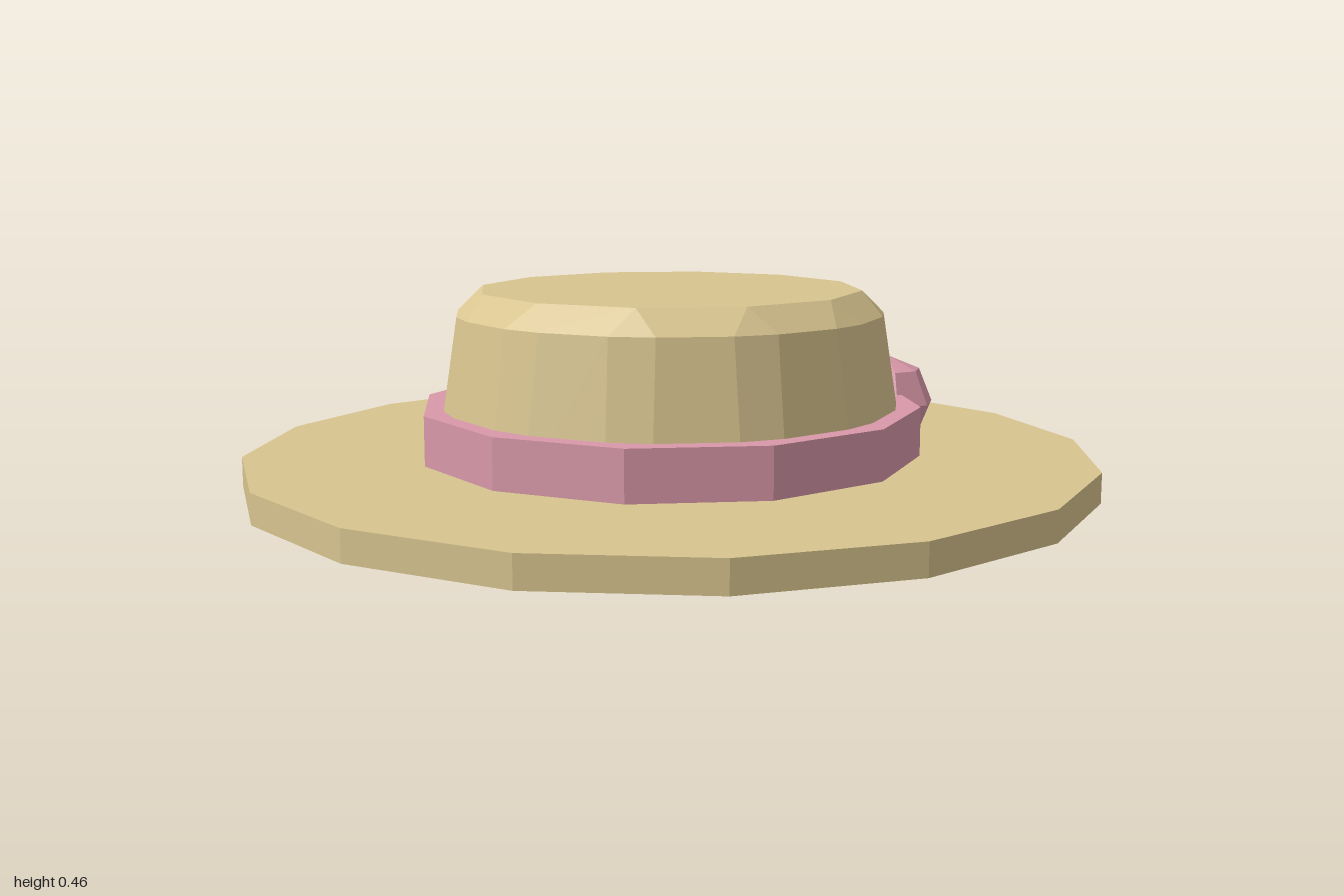
import * as THREE from 'three';

// Faceted normals for the low-poly look
function flat(geometry) {
  const g = geometry.index ? geometry.toNonIndexed() : geometry;
  g.computeVertexNormals();
  return g;
}

// Tapered twelve-sided crown: every upright corner and the top rim are bevelled
function crownGeometry() {
  const sides = 12;
  const cut = 0.05;
  const points = [];
  const corner = (i, radius, y, side) => {
    const a = (i / sides) * Math.PI * 2;
    const r = side ? radius - cut * Math.tan(Math.PI / sides) : radius;
    const t = side * cut;
    return [r * Math.sin(a) + t * Math.cos(a), y, r * Math.cos(a) - t * Math.sin(a)];
  };
  const face = (...p) => {
    for (let i = 1; i < p.length - 1; i++) points.push(...p[0], ...p[i], ...p[i + 1]);
  };
  const low = (i, s) => corner(i, 0.566, 0.07, s);
  const high = (i, s) => corner(i, 0.514, 0.4, s);
  const top = (i) => corner(i, 0.452, 0.455, 0);

  for (let i = 0; i < sides; i++) {
    const j = i + 1;
    face(low(i, -1), low(i, 1), high(i, 1), high(i, -1)); // corner strip
    face(low(i, 1), low(j, -1), high(j, -1), high(i, 1)); // wall
    face(high(i, -1), high(i, 1), top(i)); // corner bevel
    face(high(i, 1), high(j, -1), top(j), top(i)); // rim bevel
    face([0, 0.455, 0], top(i), top(j)); // flat top
  }
  const g = new THREE.BufferGeometry();
  g.setAttribute('position', new THREE.Float32BufferAttribute(points, 3));
  return g;
}

export function createModel() {
  const hat = new THREE.Group();
  hat.name = 'hat';
  const straw = new THREE.MeshStandardMaterial({ color: 0xd8c48f });
  straw.name = 'straw';
  const pink = new THREE.MeshStandardMaterial({ color: 0xd898a9 });
  pink.name = 'pink';

  const add = (name, geometry, material, x, y, z) => {
    const mesh = new THREE.Mesh(flat(geometry), material);
    mesh.name = name;
    mesh.position.set(x, y, z);
    hat.add(mesh);
  };

  add('brim', new THREE.CylinderGeometry(1, 1, 0.07, 16), straw, 0, 0.035, 0);
  add('crown', crownGeometry(), straw, 0, 0, 0);
  add('band', new THREE.CylinderGeometry(0.592, 0.592, 0.115, 12), pink, 0, 0.1275, 0);
  add('pompom', new THREE.SphereGeometry(0.115, 8, 4), pink, 0.48, 0.155, 0.31);
  return hat;
}
